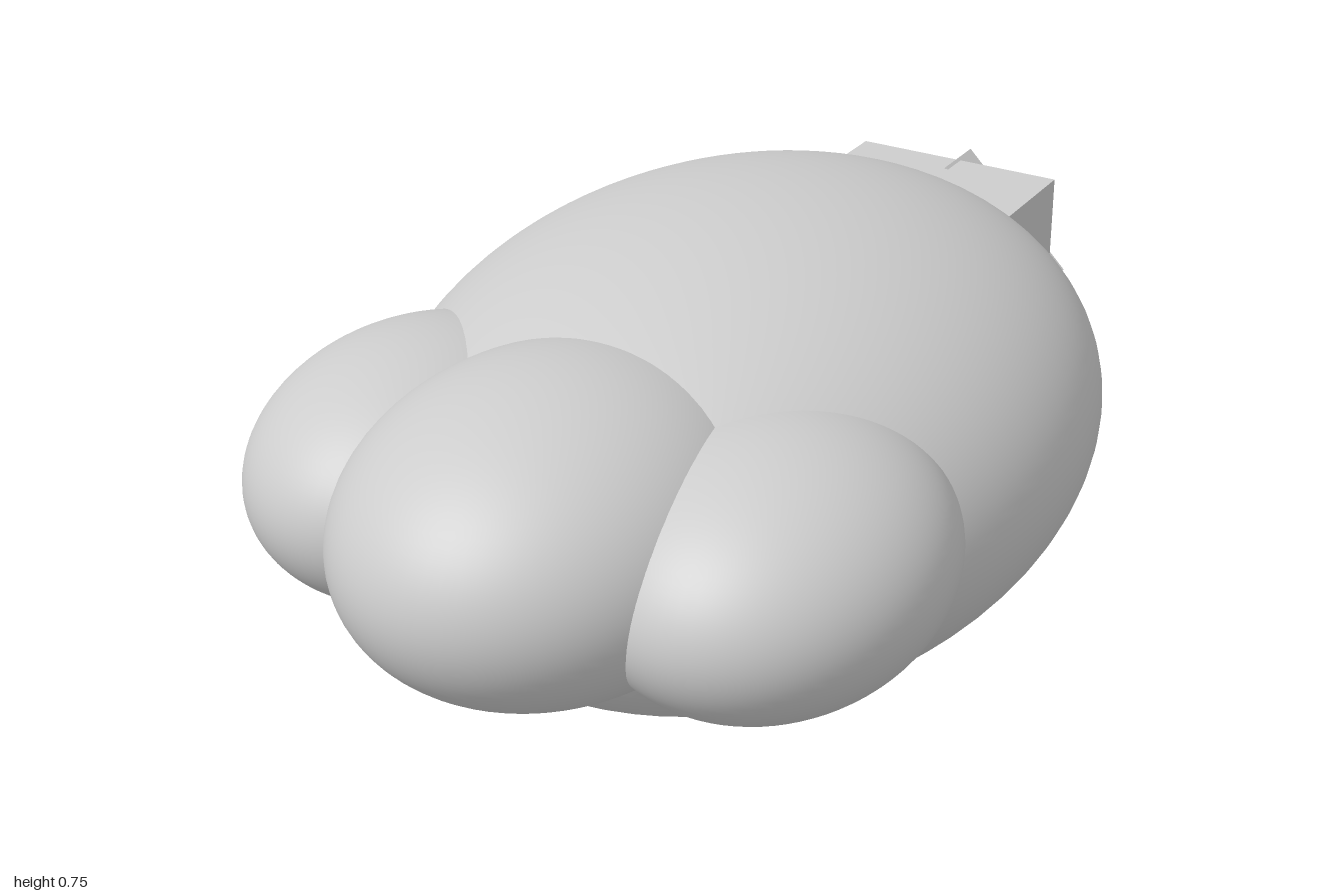
import * as THREE from 'three';

export function createModel() {
  const model = new THREE.Group();
  const grey = new THREE.MeshStandardMaterial({ color: 0xcccccc });
  grey.name = 'plainGrey';

  const add = (name, geometry, x, y, z, parent = model) => {
    const mesh = new THREE.Mesh(geometry, grey);
    mesh.name = name;
    mesh.position.set(x, y, z);
    parent.add(mesh);
    return mesh;
  };

  // Scaling the geometry keeps the normals correct
  const ellipsoid = (rx, ry, rz, thetaEnd = Math.PI) =>
    new THREE.SphereGeometry(1, 72, 48, 0, Math.PI * 2, 0, thetaEnd).scale(rx, ry, rz);

  // Main body, an ellipsoid cut flat where it rests on the ground
  const body = new THREE.Group();
  body.name = 'body';
  model.add(body);
  const rx = 0.625, ry = 0.432, rz = 0.8, cy = 0.313, cz = -0.05;
  const cut = Math.acos(-cy / ry);
  add('bodyShell', ellipsoid(rx, ry, rz, cut), 0, cy, cz, body);
  const sole = new THREE.CircleGeometry(1, 72)
    .rotateX(Math.PI / 2)
    .scale(rx * Math.sin(cut), 1, rz * Math.sin(cut));
  add('flatSole', sole, 0, 0, cz, body);

  // Three rounded lobes at the front
  add('middleLobe', ellipsoid(0.35, 0.271, 0.42), 0, 0.406, 0.58);
  for (const [name, side] of [['leftLobe', 1], ['rightLobe', -1]]) {
    add(name, ellipsoid(0.295, 0.23, 0.36), side * 0.345, 0.375, 0.465);
  }

  // Square block at the back, with a smaller block turned on its corner
  add('rearBlock', new THREE.BoxGeometry(0.44, 0.45, 0.44), 0, 0.29, -0.72);
  const side = 0.23 * Math.SQRT2;
  const diamond = new THREE.BoxGeometry(side, side, 0.12).rotateZ(Math.PI / 4);
  add('diamondBlock', diamond, 0, 0.29, -0.94);

  return model;
}
